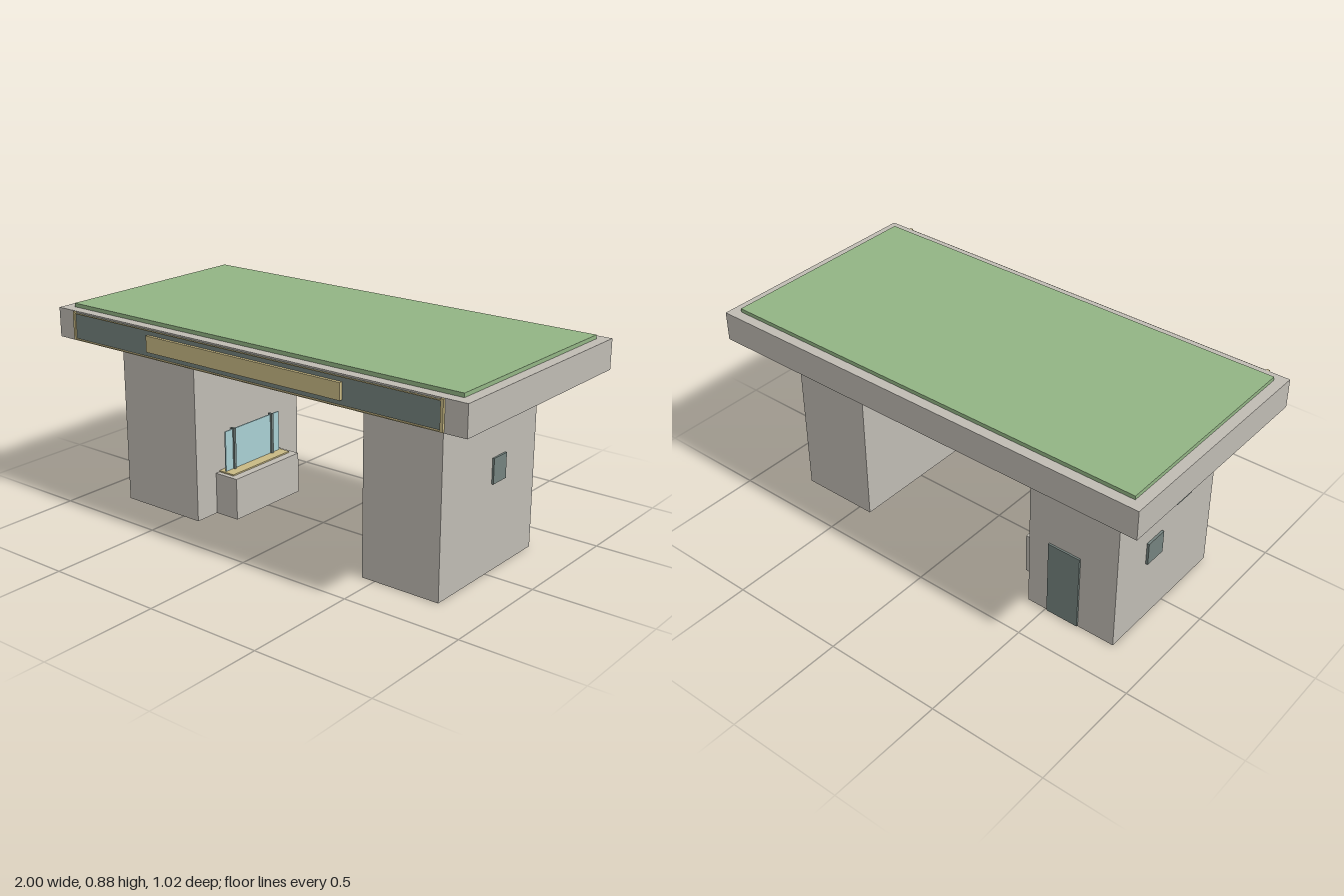
import * as THREE from 'three';

const mat = (name, color) => {
  const m = new THREE.MeshStandardMaterial({ color });
  m.name = name;
  return m;
};

export function createModel() {
  const concrete = mat('concrete', 0xbfbbb3);
  const green = mat('roofGreen', 0x92b484);
  const tan = mat('tanTrim', 0xc8b984);
  const slate = mat('slate', 0x74827e);
  const glass = mat('paleGlass', 0xa9cfd3);

  const model = new THREE.Group();
  model.name = 'gatehouse';

  // Box given by its limits on each axis
  const box = (name, material, [x0, x1], [y0, y1], [z0, z1], parent = model) => {
    const mesh = new THREE.Mesh(new THREE.BoxGeometry(x1 - x0, y1 - y0, z1 - z0), material);
    mesh.position.set((x0 + x1) / 2, (y0 + y1) / 2, (z0 + z1) / 2);
    mesh.name = name;
    parent.add(mesh);
    return mesh;
  };

  // Roof slab and its green covering
  box('roofSlab', concrete, [-1, 1], [0.736, 0.86], [-0.508, 0.49]);
  box('roofCovering', green, [-0.955, 0.955], [0.86, 0.876], [-0.465, 0.446]);

  // Fascia: slate panel in a thin tan frame, with a blank tan board
  const fascia = new THREE.Group();
  fascia.name = 'fascia';
  model.add(fascia);
  box('fasciaPanel', slate, [-0.9, 0.9], [0.746, 0.854], [0.49, 0.495], fascia);
  for (const s of [-1, 1]) {
    box('frameSide', tan, [s * 0.902 - 0.006, s * 0.902 + 0.006], [0.74, 0.859], [0.488, 0.5], fascia);
    box('frameRail', tan, [-0.896, 0.896], [0.797 + s * 0.055 - 0.002, 0.797 + s * 0.055 + 0.002], [0.488, 0.499], fascia);
  }
  box('fasciaBoard', tan, [-0.48, 0.48], [0.766, 0.833], [0.49, 0.508], fascia);

  // Two support buildings with a tan collar under the roof
  for (const [side, x0, x1] of [['right', -0.82, -0.415], ['left', 0.44, 0.79]]) {
    box(side + 'Building', concrete, [x0, x1], [0, 0.736], [-0.33, 0.315]);
    box(side + 'Collar', tan, [x0 - 0.005, x1 + 0.005], [0.717, 0.7355], [-0.335, 0.319]);
  }

  // Small windows and the rear door
  box('leftWindow', slate, [0.788, 0.798], [0.364, 0.468], [-0.11, -0.022]);
  box('upperWindow', slate, [-0.83, -0.818], [0.455, 0.555], [0.04, 0.14]);
  box('lowerWindow', slate, [-0.83, -0.818], [0.28, 0.38], [-0.14, -0.04]);
  box('rearDoor', slate, [-0.655, -0.51], [0.004, 0.342], [-0.338, -0.328]);

  // Service counter on the inner wall
  const counter = new THREE.Group();
  counter.name = 'serviceCounter';
  model.add(counter);
  box('counterBase', concrete, [-0.416, -0.3], [0, 0.18], [-0.2, 0.2], counter);
  box('counterTop', tan, [-0.415, -0.335], [0.18, 0.186], [-0.18, 0.18], counter);
  box('counterGlass', glass, [-0.39, -0.384], [0.186, 0.362], [-0.17, 0.17], counter);
  for (const z of [-0.12, 0.12])
    box('counterPost', slate, [-0.397, -0.376], [0.186, 0.366], [z - 0.006, z + 0.006], counter);

  return model;
}
